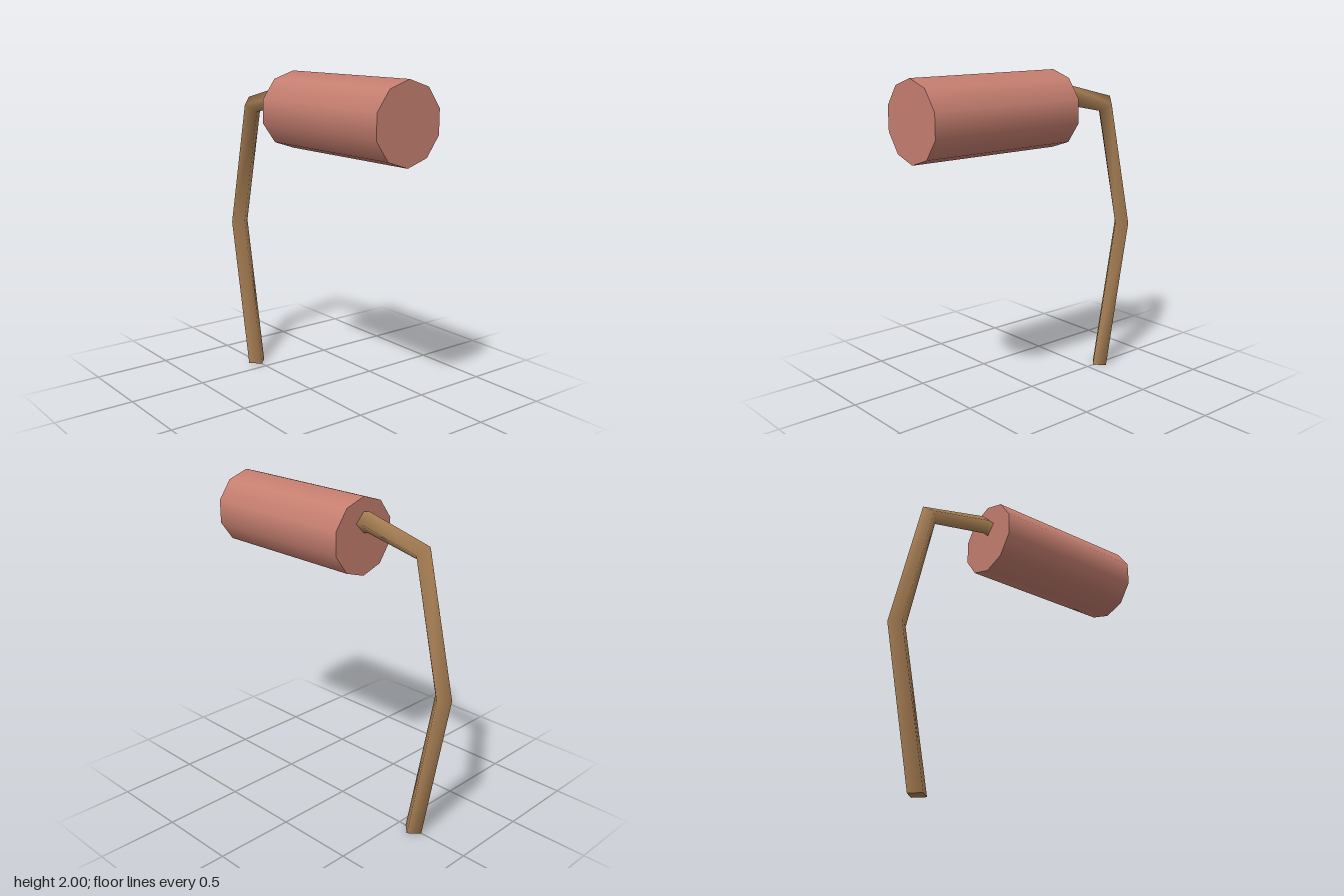
import * as THREE from 'three';

// Mitred rod with a diamond section; each station is [x, y, offsetX, offsetY] to its outer edge.
function rodGeometry(stations, halfDepth) {
  const pos = [], index = [];
  const ring = ([x, y, ox, oy]) =>
    pos.push(x + ox, y + oy, 0, x, y, halfDepth, x - ox, y - oy, 0, x, y, -halfDepth);
  stations.forEach(ring);
  for (let i = 0; i < stations.length - 1; i++) {
    for (let j = 0; j < 4; j++) {
      const a = i * 4 + j, b = i * 4 + (j + 1) % 4;
      index.push(a, b, b + 4, a, b + 4, a + 4);
    }
  }
  // flat end caps with their own vertices
  const s = pos.length / 3;
  ring(stations[0]);
  ring(stations[stations.length - 1]);
  index.push(s, s + 2, s + 1, s, s + 3, s + 2);
  index.push(s + 4, s + 5, s + 6, s + 4, s + 6, s + 7);
  const geo = new THREE.BufferGeometry();
  geo.setAttribute('position', new THREE.Float32BufferAttribute(pos, 3));
  geo.setIndex(index);
  geo.computeVertexNormals();
  return geo;
}

export function createModel() {
  const group = new THREE.Group();
  group.name = 'paintRoller';
  const brown = new THREE.MeshStandardMaterial({ name: 'handleBrown', color: 0xa98055 });
  const red = new THREE.MeshStandardMaterial({ name: 'rollerRed', color: 0xc67f70 });

  // bent handle, from the floor up into the roller
  const handle = new THREE.Mesh(rodGeometry([
    [-0.613, 0, -0.063, 0],
    [-0.797, 0.962, -0.06, 0],
    [-0.615, 1.765, -0.045, 0.045],
    [-0.205, 1.858, -0.005, 0.063],
    [-0.1, 1.835, 0.01, 0.061],
  ], 0.062), brown);
  handle.name = 'handle';
  group.add(handle);

  // ten-sided roller lying along x, with an edge at the top
  const geo = new THREE.CylinderGeometry(0.234, 0.234, 1.026, 10);
  geo.rotateY(Math.PI / 2).rotateZ(Math.PI / 2);
  const roller = new THREE.Mesh(geo, red);
  roller.name = 'roller';
  roller.position.set(0.343, 1.766, 0);
  group.add(roller);

  return group;
}
